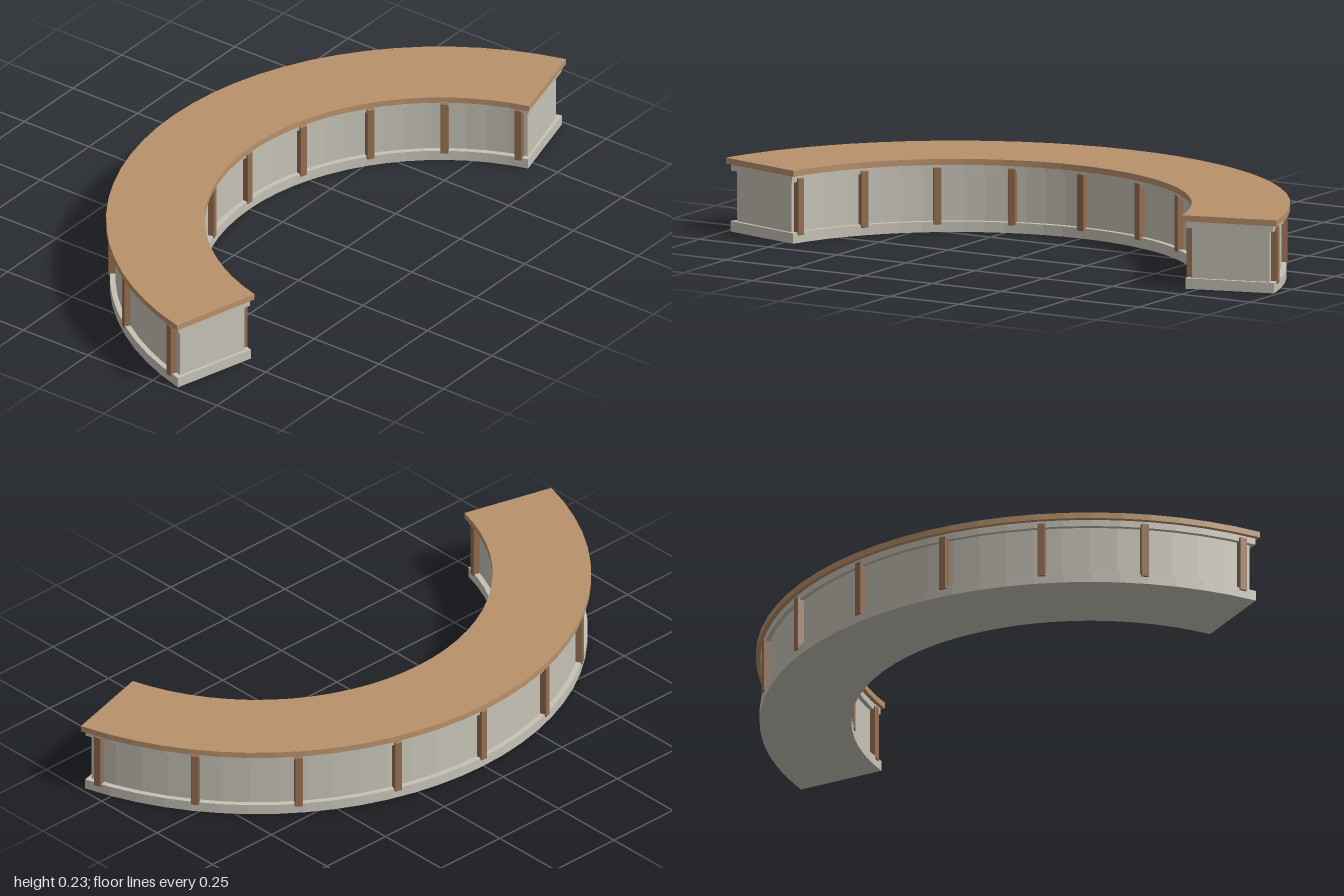
import * as THREE from 'three';
import { RoundedBoxGeometry } from 'three/addons/geometries/RoundedBoxGeometry.js';

const CENTRE_Z = 0.612; // centre of the curve
const rad = THREE.MathUtils.degToRad;

// Curved bar between two radii, ending at the given angle on both sides
function arcSlab(inner, outer, endAngle, bottom, top) {
  const a = rad(endAngle), b = Math.PI - a;
  const shape = new THREE.Shape();
  shape.absarc(0, 0, outer, a, b, false);
  shape.absarc(0, 0, inner, b, a, true);
  shape.closePath();
  const geo = new THREE.ExtrudeGeometry(shape, {
    depth: top - bottom, bevelEnabled: false, curveSegments: 15,
  });
  geo.rotateX(-Math.PI / 2);
  geo.translate(0, bottom, CENTRE_Z);
  return geo;
}

export function createModel() {
  const model = new THREE.Group();
  model.name = 'curvedCounter';

  const topWood = new THREE.MeshStandardMaterial({ color: 0xb8916b });
  topWood.name = 'light wood';
  const postWood = new THREE.MeshStandardMaterial({ color: 0x946e50 });
  postWood.name = 'brown wood';
  const panel = new THREE.MeshStandardMaterial({ color: 0xc6c2b6 });
  panel.name = 'warm grey';

  const add = (name, geo, mat) => {
    const mesh = new THREE.Mesh(geo, mat);
    mesh.name = name;
    model.add(mesh);
    return mesh;
  };

  // Stacked curved layers
  add('plinth', arcSlab(0.74, 1.024, 15.5, 0, 0.033), panel);
  add('wall', arcSlab(0.757, 1.007, 16.2, 0.033, 0.192), panel);
  add('cornice', arcSlab(0.743, 1.021, 15.5, 0.192, 0.213), panel);
  add('counterTop', arcSlab(0.73, 1.035, 15, 0.213, 0.232), topWood);

  // Posts on the outer and inner faces
  const postGeo = new RoundedBoxGeometry(0.025, 0.18, 0.028, 1, 0.003);
  for (const [name, radius] of [['outerPost', 1.014], ['innerPost', 0.75]]) {
    for (let i = 0; i < 9; i++) {
      const angle = rad(18 + i * 18);
      const post = add(name + (i + 1), postGeo, postWood);
      post.position.set(radius * Math.cos(angle), 0.114, CENTRE_Z - radius * Math.sin(angle));
      post.rotation.y = angle + Math.PI / 2;
    }
  }
  return model;
}
